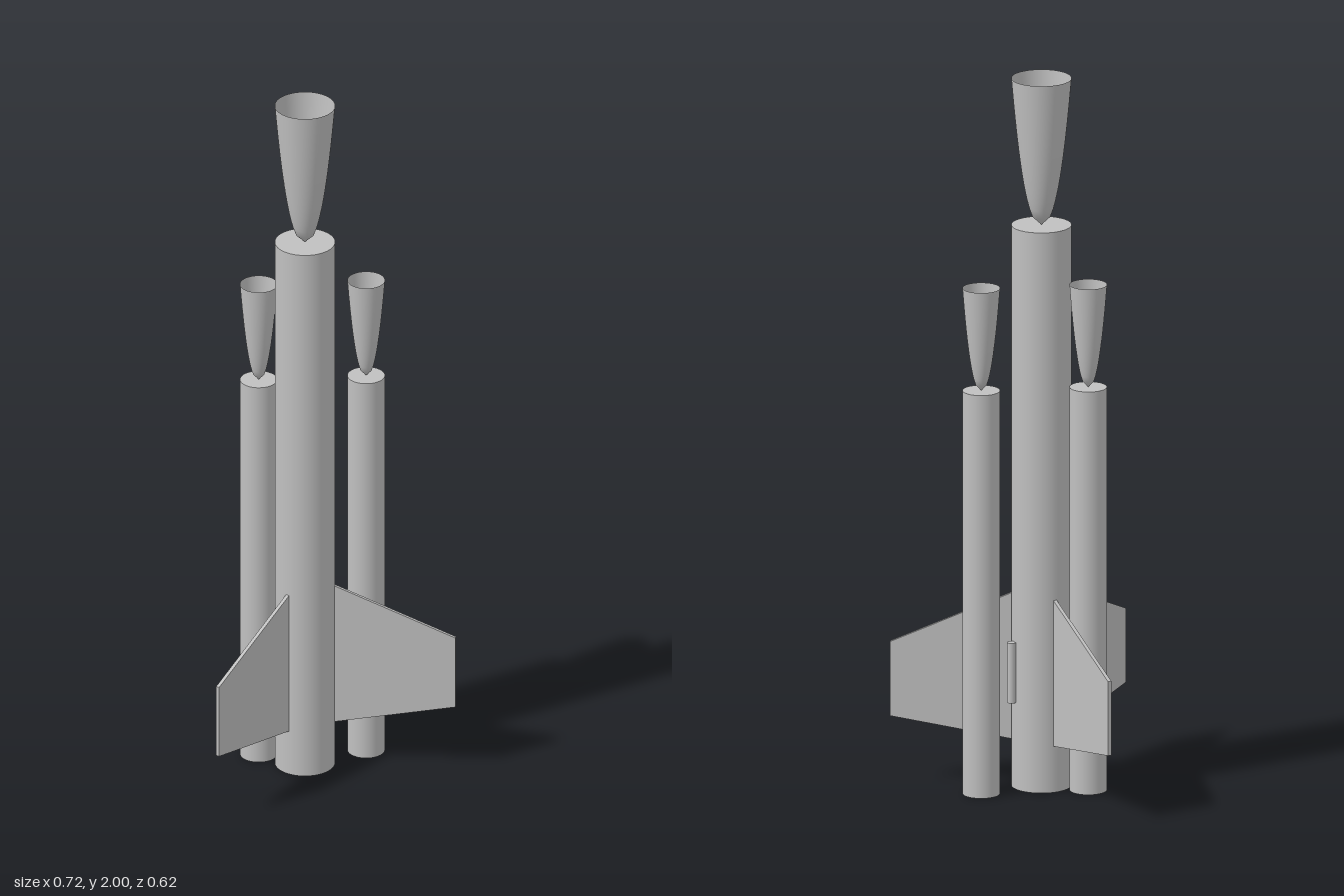
import * as THREE from 'three';

const grey = new THREE.MeshStandardMaterial({ color: 0xc0c0c0 });
grey.name = 'light grey';
const greyShell = new THREE.MeshStandardMaterial({ color: 0xc0c0c0, side: THREE.DoubleSide });
greyShell.name = 'light grey shell';

const AXIS_Z = 0.1; // the core stands forward of the origin

function add(parent, name, geometry, material = grey) {
  const mesh = new THREE.Mesh(geometry, material);
  mesh.name = name;
  parent.add(mesh);
  return mesh;
}

// Closed tube with an open, inverted nose shell balanced on its tip
function rocket(name, radius, bodyHeight, noseHeight) {
  const group = new THREE.Group();
  group.name = name;
  const body = add(group, name + 'Body', new THREE.CylinderGeometry(radius, radius, bodyHeight, 48));
  body.position.y = bodyHeight / 2;

  const profile = [];
  const steps = 18;
  for (let i = 0; i <= steps; i++) {
    const t = i / steps;
    profile.push(new THREE.Vector2(radius * Math.pow(t, 0.42), noseHeight * t));
  }
  const nose = add(group, name + 'Nose', new THREE.LatheGeometry(profile, 48), greyShell);
  nose.position.y = bodyHeight;
  return group;
}

export function createModel() {
  const model = new THREE.Group();
  model.name = 'rocket';

  // Core stage
  const core = rocket('core', 0.082, 1.585, 0.415);
  core.position.z = AXIS_Z;
  model.add(core);

  // Side boosters
  [[0.183, 0.1, 'leftBooster'], [-0.092, 0, 'rightBooster']].forEach(([x, z, name]) => {
    const booster = rocket(name, 0.051, 1.14, 0.29);
    booster.position.set(x, 0, z);
    model.add(booster);
  });

  // Three swept fins around the core
  const outline = new THREE.Shape([
    new THREE.Vector2(0.078, 0.13),
    new THREE.Vector2(0.411, 0.19),
    new THREE.Vector2(0.411, 0.4),
    new THREE.Vector2(0.078, 0.545),
  ]);
  const finGeometry = new THREE.ExtrudeGeometry(outline, { depth: 0.01, bevelEnabled: false });
  finGeometry.translate(0, 0, -0.005);
  for (let i = 0; i < 3; i++) {
    const fin = add(model, 'fin' + (i + 1), finGeometry);
    fin.position.z = AXIS_Z;
    fin.rotation.y = Math.PI / 2 + (i * Math.PI * 2) / 3;
  }

  // Launch lug on the left of the core
  const lug = add(model, 'launchLug', new THREE.CylinderGeometry(0.012, 0.012, 0.17, 24));
  lug.position.set(0.091, 0.33, AXIS_Z);

  return model;
}
